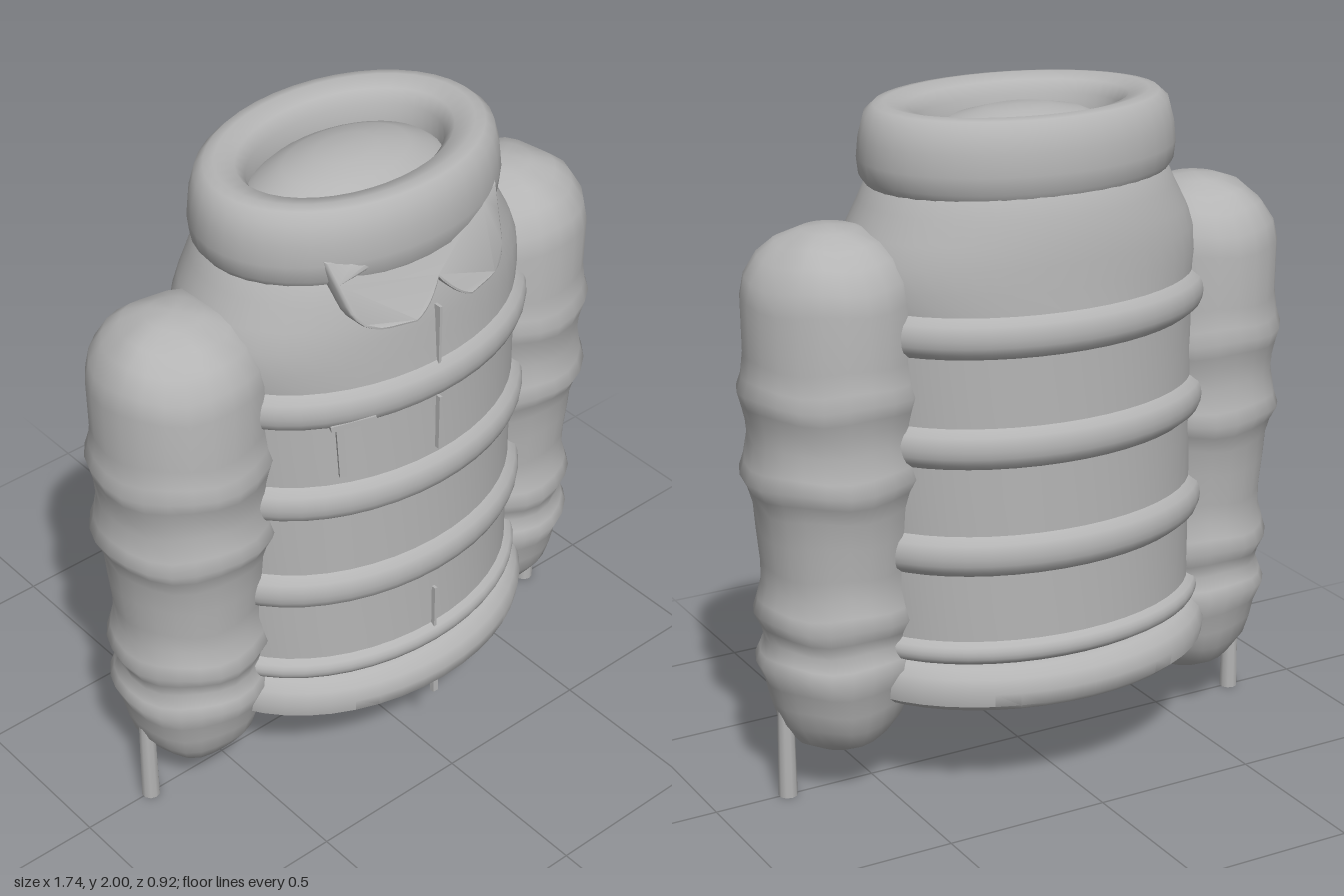
import * as THREE from 'three';
import { toCreasedNormals } from 'three/addons/utils/BufferGeometryUtils.js';

const fabric = new THREE.MeshStandardMaterial({ color: 0xb4b4b4, side: THREE.DoubleSide });
fabric.name = 'grey fabric';

// Revolves [y, half width, half depth] rings, listed from bottom to top on the outside
function ellipticalLoft(rings, segments = 40, crease = 0.7, wobble = 0) {
  const geo = new THREE.LatheGeometry(rings.map(([y, rx]) => new THREE.Vector2(rx, y)), segments);
  const pos = geo.attributes.position;
  for (let i = 0; i < pos.count; i++) {
    const [y, rx, rz] = rings[i % rings.length];
    const a = Math.atan2(pos.getX(i), pos.getZ(i));
    const w = rx > 0.1 ? wobble * Math.sin(5 * a + y * 9) : 0;
    pos.setXYZ(i, pos.getX(i), y + w, rx > 0 ? pos.getZ(i) * rz / rx : 0);
  }
  return toCreasedNormals(geo, crease);
}

function add(parent, name, geo, x = 0, y = 0, z = 0) {
  const mesh = new THREE.Mesh(geo, fabric);
  mesh.name = name;
  mesh.position.set(x, y, z);
  parent.add(mesh);
  return mesh;
}

// Rounded roll around the torso
function roll(y0, y1, rx, rz, bulge, steps = 6) {
  const rings = [];
  for (let i = 0; i <= steps; i++) {
    const t = i / steps, b = bulge * Math.sqrt(Math.sin(Math.PI * Math.min(t, 0.99999)));
    rings.push([y0 + (y1 - y0) * t, rx + b * 1.3, rz + b]);
  }
  return rings;
}

function createSleeve(side) {
  const sleeve = new THREE.Group();
  sleeve.name = side > 0 ? 'leftSleeve' : 'rightSleeve';
  const rings = [
    [0.13, 0], [0.14, 0.08], [0.18, 0.145], [0.24, 0.185], [0.3, 0.203], [0.36, 0.215],
    [0.42, 0.24], [0.45, 0.227], [0.49, 0.212], [0.53, 0.222], [0.57, 0.242], [0.61, 0.23],
    [0.66, 0.217], [0.72, 0.218], [0.82, 0.228], [0.9, 0.234], [0.95, 0.248], [0.99, 0.268],
    [1.03, 0.255], [1.1, 0.243], [1.16, 0.248], [1.2, 0.257], [1.24, 0.268], [1.28, 0.255],
    [1.34, 0.248], [1.5, 0.25], [1.56, 0.238], [1.62, 0.2], [1.66, 0.15], [1.69, 0.08], [1.7, 0],
  ].map(([y, r]) => [y, r, r]);
  add(sleeve, 'sleevePadding', ellipticalLoft(rings, 24, 1.2, 0.006), side * 0.6);
  // Cord hanging from the cuff
  add(sleeve, 'cuffCord', new THREE.CylinderGeometry(0.024, 0.028, 0.3, 10), side * 0.772, 0.15);
  return sleeve;
}

// Two-lobed collar flap, tilted outward and bent around the chest
function flapGeometry() {
  const shape = new THREE.Shape();
  shape.moveTo(-0.3, 1.86);
  shape.lineTo(-0.285, 1.8);
  shape.lineTo(-0.272, 1.74);
  shape.quadraticCurveTo(-0.26, 1.67, -0.18, 1.667);
  shape.lineTo(-0.1, 1.662);
  shape.quadraticCurveTo(-0.05, 1.68, 0, 1.75);
  shape.quadraticCurveTo(0.05, 1.68, 0.1, 1.662);
  shape.lineTo(0.18, 1.667);
  shape.quadraticCurveTo(0.26, 1.67, 0.272, 1.74);
  shape.lineTo(0.285, 1.8);
  shape.lineTo(0.3, 1.86);
  for (let i = 1; i < 8; i++) shape.lineTo(0.3 - i * 0.075, 1.86);
  const geo = new THREE.ExtrudeGeometry(shape, {
    depth: 0.04, bevelEnabled: true, bevelSize: 0.008, bevelThickness: 0.012, bevelSegments: 2, curveSegments: 6,
  });
  const pos = geo.attributes.position;
  for (let i = 0; i < pos.count; i++) {
    const x = pos.getX(i), y = pos.getY(i);
    pos.setZ(i, pos.getZ(i) + 0.365 - (y - 1.67) * 0.4 - 0.7 * x * x);
  }
  return toCreasedNormals(geo, 0.7);
}

export function createModel() {
  const model = new THREE.Group();
  model.name = 'paddedJacket';

  // Torso with recessed underside, rolled hem and quilted rolls
  add(model, 'torso', ellipticalLoft([
    [0.37, 0, 0], [0.37, 0.5, 0.37], [0.31, 0.52, 0.39],
    [0.31, 0.565, 0.43], [0.33, 0.59, 0.452], [0.37, 0.595, 0.458], [0.41, 0.58, 0.445], [0.435, 0.555, 0.415],
    ...roll(0.44, 0.51, 0.545, 0.395, 0.025),
    ...roll(0.71, 0.83, 0.545, 0.393, 0.03),
    ...roll(1.03, 1.15, 0.545, 0.392, 0.03),
    ...roll(1.35, 1.47, 0.545, 0.39, 0.03),
    [1.53, 0.555, 0.385], [1.6, 0.545, 0.38], [1.66, 0.517, 0.374], [1.73, 0.478, 0.36], [1.79, 0.45, 0.34], [1.85, 0.4, 0.3],
  ], 48));

  // Padded collar ring
  add(model, 'collar', ellipticalLoft([
    [1.79, 0.42, 0.3], [1.775, 0.455, 0.335], [1.8, 0.474, 0.35], [1.85, 0.48, 0.354], [1.91, 0.474, 0.348],
    [1.97, 0.458, 0.333], [1.995, 0.43, 0.31], [2, 0.4, 0.28], [1.985, 0.34, 0.23],
    [1.95, 0.312, 0.203], [1.86, 0.31, 0.2],
  ]));
  // Domed lining inside the neck
  add(model, 'neckLining', ellipticalLoft([
    [1.86, 0.34, 0.23], [1.91, 0.28, 0.185], [1.945, 0.2, 0.13], [1.965, 0.1, 0.066], [1.97, 0, 0],
  ]));
  add(model, 'collarFlap', flapGeometry());

  // Front zip, showing between the rolls
  const zip = new THREE.Group();
  zip.name = 'zip';
  model.add(zip);
  for (const [y0, y1, z] of [[0.49, 0.65, 0.396], [1.17, 1.35, 0.394], [1.46, 1.65, 0.386]]) {
    add(zip, 'zipStrip', new THREE.BoxGeometry(0.009, y1 - y0, 0.024), 0, (y0 + y1) / 2, z);
  }
  add(zip, 'zipTab', new THREE.BoxGeometry(0.018, 0.08, 0.015), 0, 0.285, 0.41);

  // Chest pocket edging on the right side
  const pocket = new THREE.Group();
  pocket.name = 'pocketTrim';
  pocket.position.set(-0.28, 1.28, 0.338);
  pocket.rotation.y = -0.42;
  model.add(pocket);
  add(pocket, 'pocketTop', new THREE.BoxGeometry(0.13, 0.018, 0.03), 0.01, 0.09, 0.01).rotation.z = 0.1;
  add(pocket, 'pocketSide', new THREE.BoxGeometry(0.022, 0.18, 0.02), -0.02, -0.01, 0).rotation.z = 0.06;

  for (const side of [1, -1]) model.add(createSleeve(side));
  return model;
}
